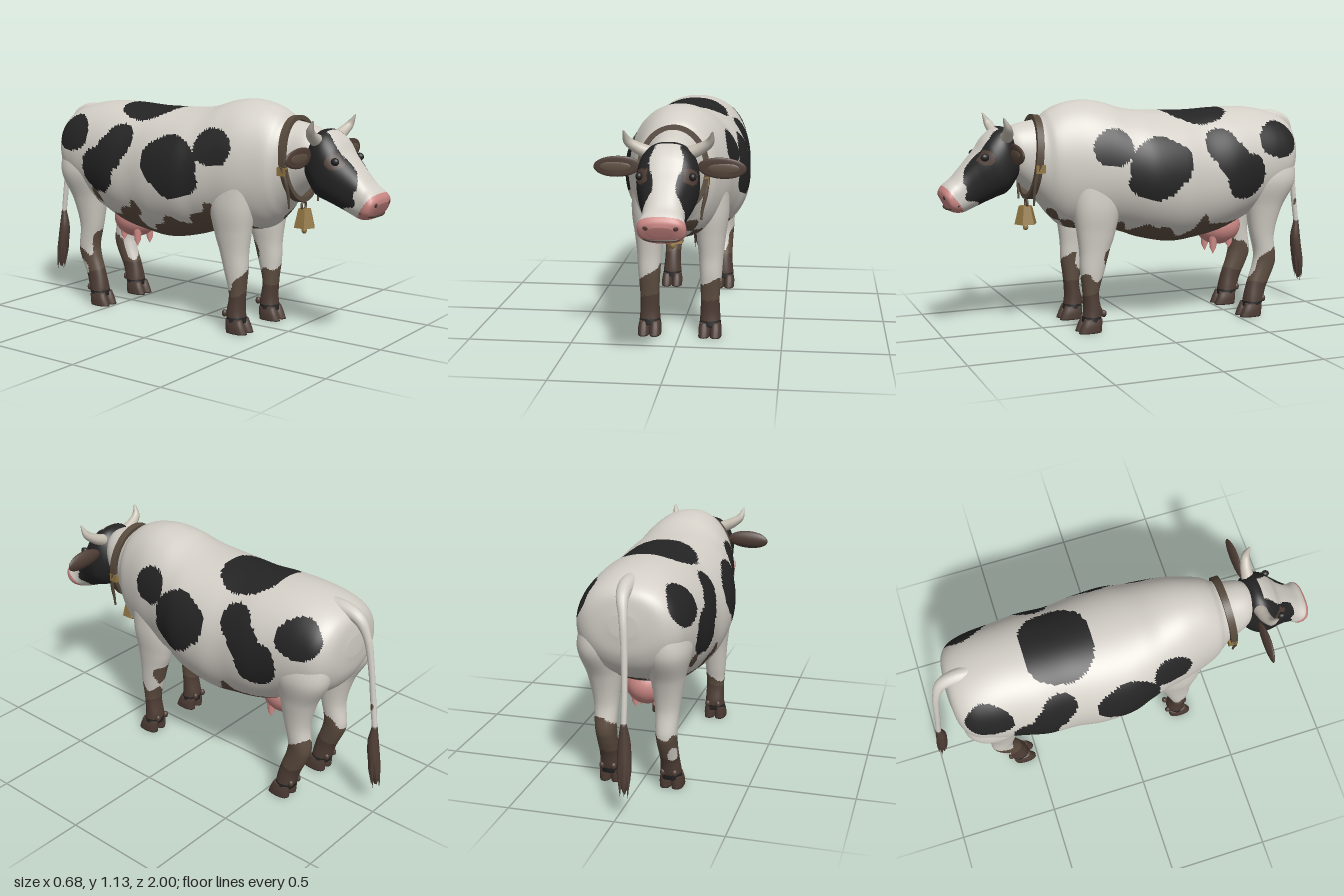
import * as THREE from 'three';

const material = (name, color) => Object.assign(new THREE.MeshStandardMaterial({ color }), { name });
const white = material('cream coat', 0xd3cfc7);
const black = material('black patches', 0x242424);
const mud = material('mud', 0x5d4d40);
const brown = material('dark brown', 0x4e3d35);
const pink = material('pink skin', 0xcb8884);
const hornMat = material('horn', 0xc9c2b6);
const leather = material('leather', 0x574a3d);
const brass = material('brass', 0x927643);
const coat = [white, black, mud, brown, pink];
const WHITE = 0, BLACK = 1, MUD = 2, BROWN = 3, PINK = 4;

// Closed loft. Each section: [z, y of one edge, z, y of the opposite edge, half width, centre x]
function loft(sections, rings, sides, power = 2) {
  const curve = (f) => new THREE.CatmullRomCurve3(sections.map(f), false, 'catmullrom', 0.5);
  const edgeA = curve((s) => new THREE.Vector3(0, s[1], s[0]));
  const edgeB = curve((s) => new THREE.Vector3(0, s[3], s[2]));
  const width = curve((s) => new THREE.Vector3(s[4], s[5] || 0, 0));
  const bend = (v) => Math.sign(v) * Math.abs(v) ** (2 / power);
  const pos = [], index = [];
  for (let i = 0; i <= rings; i++) {
    const a = edgeA.getPoint(i / rings), b = edgeB.getPoint(i / rings), w = width.getPoint(i / rings);
    const mid = a.clone().add(b).multiplyScalar(0.5), arm = a.clone().sub(mid);
    for (let j = 0; j < sides; j++) {
      const t = (j / sides) * Math.PI * 2, c = bend(Math.cos(t)), s = bend(Math.sin(t));
      pos.push(w.y + w.x * s, mid.y + arm.y * c, mid.z + arm.z * c);
      if (i < rings) {
        const k = (j + 1) % sides, p = i * sides, q = p + sides;
        index.push(p + j, q + j, p + k, p + k, q + j, q + k);
      }
    }
  }
  for (const [ring, flip] of [[0, false], [rings, true]]) {
    const s = sections[flip ? sections.length - 1 : 0], c = pos.length / 3, o = ring * sides;
    pos.push(s[5] || 0, (s[1] + s[3]) / 2, (s[0] + s[2]) / 2);
    for (let j = 0; j < sides; j++) {
      const k = (j + 1) % sides;
      index.push(c, o + (flip ? k : j), o + (flip ? j : k));
    }
  }
  const geo = new THREE.BufferGeometry();
  geo.setAttribute('position', new THREE.Float32BufferAttribute(pos, 3));
  geo.setIndex(index);
  geo.computeVertexNormals();
  return geo;
}

// Tube whose radius follows a list of values
function taperTube(points, radii, rings = 24, sides = 12) {
  const curve = new THREE.CatmullRomCurve3(points.map((p) => new THREE.Vector3(...p)));
  const geo = new THREE.TubeGeometry(curve, rings, 1, sides), pos = geo.attributes.position;
  const v = new THREE.Vector3();
  for (let n = 0; n < pos.count; n++) {
    const t = Math.floor(n / (sides + 1)) / rings, f = t * (radii.length - 1);
    const k = Math.min(Math.floor(f), radii.length - 2), c = curve.getPointAt(t);
    v.fromBufferAttribute(pos, n).sub(c).multiplyScalar(THREE.MathUtils.lerp(radii[k], radii[k + 1], f - k)).add(c);
    pos.setXYZ(n, v.x, v.y, v.z);
  }
  return geo;
}

// Sorts the triangles into colour groups by a rule on their centres
function paint(geo, rule) {
  const pos = geo.attributes.position, idx = geo.index.array, lists = coat.map(() => []);
  const centre = (i, axis) => [0, 1, 2].reduce((sum, k) => sum + pos.getComponent(idx[i + k], axis), 0) / 3;
  for (let i = 0; i < idx.length; i += 3) {
    lists[rule(centre(i, 0), centre(i, 1), centre(i, 2))].push(idx[i], idx[i + 1], idx[i + 2]);
  }
  let start = 0;
  lists.forEach((l, m) => { if (l.length) geo.addGroup(start, l.length, m); start += l.length; });
  geo.setIndex(lists.flat());
  return geo;
}

const noise = (x, y, z) => (Math.sin(21 * x + 9 * y + 1) + Math.sin(25 * y - 17 * z + 2)
  + Math.sin(27 * z + 13 * x) + 0.7 * Math.sin(45 * z + 33 * y - 20 * x)) / 2.6;

// Side patches: [z, y, radius z, radius y]
const patches = [[0.21, 0.905, 0.1, 0.09], [-0.02, 0.82, 0.16, 0.13], [0.02, 0.74, 0.12, 0.09],
  [-0.35, 0.9, 0.085, 0.085], [-0.41, 0.83, 0.09, 0.09], [-0.48, 0.745, 0.115, 0.115], [-0.68, 0.915, 0.11, 0.09]];
function patched(x, y, z) {
  const wobble = 1 + 0.08 * Math.sin(30 * z + 22 * y);
  if (patches.some(([pz, py, rz, ry]) => ((z - pz) / rz) ** 2 + ((y - py) / ry) ** 2 < wobble)) return true;
  return y > 0.9 && Math.abs(x / 0.18) ** 3 + Math.abs((z + 0.29) / 0.165) ** 3 < wobble;
}
const bodyRule = (x, y, z) => (y < 0.5 + 0.11 * noise(x, y, z) ? MUD : patched(x, y, z) ? BLACK : WHITE);
const legRule = (x, y, z) => (y < 0.078 ? BLACK : y < 0.19 + 0.02 * noise(x, y, z) ? BROWN
  : y < 0.29 + 0.11 * noise(x, y, z) ? MUD : patched(x, y, z) ? BLACK : WHITE);

// Face: u runs from poll to nose, v from throat to forehead
function headRule(x, y, z) {
  const u = 0.81 * z - 0.59 * y, v = 0.59 * z + 0.81 * y, ax = Math.abs(x);
  if (u > 0.362) return PINK;
  if (u > 0.305 + 0.02 * Math.sin(60 * v)) return WHITE;
  const blaze = 0.05 + 0.026 * Math.exp(-(((u - 0.09) / 0.06) ** 2)) + 0.05 * Math.max(0, (u - 0.23) / 0.08);
  if (u > -0.005 && v > 1.1 && ax < blaze) return WHITE;
  if (ax > 0.08 && ((z - 0.8) / 0.04) ** 2 + ((y - 0.87) / 0.035) ** 2 < 1) return BROWN;
  return BLACK;
}

export function createModel() {
  const cow = new THREE.Group();
  cow.name = 'cow';
  const add = (name, geo, mat, x = 0, y = 0, z = 0) => {
    const mesh = new THREE.Mesh(geo, mat);
    mesh.name = name;
    mesh.position.set(x, y, z);
    cow.add(mesh);
    return mesh;
  };
  const ball = (name, mat, radii, x, y, z) => {
    add(name, new THREE.SphereGeometry(1, 28, 20), mat, x, y, z).scale.set(...radii);
  };

  // Trunk and neck
  add('body', paint(loft([
    [-0.838, 0.9, -0.838, 0.8, 0.06], [-0.82, 0.985, -0.82, 0.7, 0.17], [-0.77, 1.03, -0.77, 0.62, 0.232],
    [-0.68, 1.06, -0.68, 0.56, 0.26], [-0.56, 1.075, -0.56, 0.5, 0.275], [-0.42, 1.073, -0.42, 0.44, 0.296],
    [-0.28, 1.065, -0.28, 0.41, 0.295], [-0.15, 1.065, -0.15, 0.4, 0.312], [0, 1.07, 0, 0.43, 0.312],
    [0.1, 1.085, 0.1, 0.465, 0.285], [0.2, 1.115, 0.2, 0.485, 0.26], [0.3, 1.125, 0.3, 0.49, 0.24],
    [0.4, 1.108, 0.4, 0.51, 0.21], [0.47, 1.075, 0.46, 0.56, 0.187], [0.51, 1.04, 0.5, 0.61, 0.16],
    [0.56, 1.03, 0.55, 0.67, 0.135], [0.64, 1.01, 0.61, 0.73, 0.115], [0.7, 0.97, 0.66, 0.78, 0.08],
  ], 170, 120, 2.1), bodyRule), coat);

  // Head
  add('head', paint(loft([
    [0.64, 0.97, 0.61, 0.84, 0.06], [0.69, 1.005, 0.61, 0.8, 0.1], [0.735, 0.998, 0.635, 0.755, 0.13],
    [0.785, 0.957, 0.68, 0.695, 0.139], [0.82, 0.905, 0.74, 0.67, 0.128], [0.86, 0.86, 0.8, 0.645, 0.108],
    [0.9, 0.815, 0.85, 0.622, 0.093], [0.94, 0.77, 0.89, 0.607, 0.093], [0.975, 0.74, 0.925, 0.606, 0.105],
    [0.994, 0.715, 0.955, 0.617, 0.095], [0.998, 0.69, 0.975, 0.645, 0.05],
  ], 80, 80, 2.5), headRule), coat);
  add('mouth', taperTube([[-0.1, 0.65, 0.925], [-0.07, 0.632, 0.962], [0, 0.628, 0.972], [0.07, 0.632, 0.962],
    [0.1, 0.65, 0.925]], [0.005, 0.005], 24, 8), brown);

  // Legs: front and back edges from the top down
  const legs = {
    front: [[0.39, 0.8, 0.15, 0.8, 0.055, 0.17], [0.385, 0.62, 0.15, 0.62, 0.08, 0.155],
      [0.368, 0.5, 0.178, 0.48, 0.07, 0.15], [0.355, 0.4, 0.205, 0.4, 0.06, 0.15],
      [0.352, 0.31, 0.235, 0.29, 0.053, 0.15], [0.34, 0.21, 0.26, 0.19, 0.046, 0.148],
      [0.335, 0.12, 0.247, 0.1, 0.048, 0.148], [0.343, 0.05, 0.25, 0.05, 0.053, 0.148]],
    rear: [[-0.56, 0.86, -0.8, 0.84, 0.07, 0.16], [-0.52, 0.72, -0.808, 0.7, 0.1, 0.16],
      [-0.55, 0.58, -0.74, 0.56, 0.078, 0.15], [-0.575, 0.44, -0.705, 0.42, 0.058, 0.146],
      [-0.6, 0.33, -0.718, 0.3, 0.05, 0.145], [-0.593, 0.26, -0.705, 0.24, 0.046, 0.145],
      [-0.563, 0.17, -0.665, 0.15, 0.043, 0.147], [-0.546, 0.1, -0.648, 0.09, 0.048, 0.148],
      [-0.54, 0.05, -0.635, 0.05, 0.052, 0.148]],
  };
  for (const s of [-1, 1]) {
    const side = s > 0 ? 'left' : 'right';
    for (const [end, rows] of Object.entries(legs)) {
      const name = `${side} ${end}`, toe = end === 'front' ? 0.37 : -0.51;
      add(`${name} leg`, paint(loft(rows.map((r) => [...r.slice(0, 5), r[5] * s]), 90, 36, 2.2), legRule), coat);
      for (const k of [-1, 1]) {
        const x = s * 0.148 + k * 0.028;
        add(`${name} hoof claw`, loft([[toe - 0.03, 0.07, toe - 0.12, 0.065, 0.022, x],
          [toe - 0.014, 0.035, toe - 0.118, 0.035, 0.028, x], [toe, 0, toe - 0.115, 0, 0.028, x]], 10, 20, 2.4), brown);
        ball(`${name} dewclaw`, brown, [0.014, 0.018, 0.014], x, 0.09, toe - 0.128);
      }
    }

    // Horn, ear, eye, nostril and hanging strap
    add(`${side} horn`, taperTube([[0.085 * s, 0.955, 0.695], [0.14 * s, 0.98, 0.7], [0.18 * s, 1.01, 0.712],
      [0.195 * s, 1.06, 0.735]], [0.032, 0.027, 0.02, 0.003]), hornMat);
    const earGeo = new THREE.SphereGeometry(1, 32, 20), ep = earGeo.attributes.position;
    for (let n = 0; n < ep.count; n++) {
      const u = ep.getX(n), y = ep.getY(n);
      ep.setXYZ(n, u * 0.108, y * 0.047, ep.getZ(n) * 0.016 + 0.01 * y * y);
    }
    earGeo.computeVertexNormals();
    add(`${side} ear`, earGeo, brown, 0.232 * s, 0.893, 0.682).rotation.z = -0.04 * s;
    ball(`${side} inner ear`, mud, [0.07, 0.026, 0.006], 0.24 * s, 0.891, 0.695);
    ball(`${side} eye`, black, [0.016, 0.018, 0.02], 0.116 * s, 0.872, 0.805);
    ball(`${side} nostril`, brown, [0.017, 0.014, 0.008], 0.06 * s, 0.688, 0.985);
    add(`${side} strap`, taperTube([[0.157 * s, 0.83, 0.55], [0.15 * s, 0.75, 0.57], [0.135 * s, 0.68, 0.575],
      [0.13 * s, 0.635, 0.575]], [0.011, 0.009, 0.005], 16, 8), leather);
    add(`${side} buckle`, new THREE.BoxGeometry(0.02, 0.04, 0.045), brass, 0.155 * s, 0.81, 0.548);

    // Teats
    for (const [z, low] of [[-0.41, 0.318], [-0.5, 0.345]]) {
      add(`${side} teat`, taperTube([[0.05 * s, 0.42, z], [0.05 * s, 0.36, z], [0.05 * s, low + 0.008, z],
        [0.05 * s, low, z]], [0.03, 0.02, 0.017, 0.001], 16, 14), pink);
    }
  }
  ball('udder', pink, [0.105, 0.1, 0.12], 0, 0.46, -0.46);

  // Tail, tuft and loose strands
  add('tail', paint(taperTube([[0, 1.01, -0.68], [0, 1.012, -0.78], [-0.004, 0.985, -0.845], [-0.018, 0.9, -0.885],
    [-0.028, 0.78, -0.907], [-0.034, 0.61, -0.928], [-0.035, 0.42, -0.953]],
  [0.045, 0.034, 0.02, 0.016, 0.014, 0.014, 0.013], 70, 16),
  (x, y, z) => (y < 0.56 + 0.1 * noise(x, y, z) ? MUD : WHITE)), coat);
  add('tail tuft', loft([[-0.938, 0.45, -0.964, 0.45, 0.013, -0.035], [-0.922, 0.36, -0.975, 0.36, 0.028, -0.036],
    [-0.932, 0.26, -0.988, 0.26, 0.031, -0.038], [-0.95, 0.18, -0.994, 0.18, 0.02, -0.04],
    [-0.968, 0.13, -0.982, 0.13, 0.004, -0.042]], 30, 16), brown);
  for (let i = 0; i < 7; i++) {
    const a = i * 0.9, c = Math.cos(a), d = Math.sin(a), low = 0.115 + 0.012 * (i % 4);
    add('tail strand', taperTube([[-0.037 + 0.014 * c, 0.34, -0.955 + 0.012 * d], [-0.038 + 0.024 * c, 0.24, -0.963 + 0.02 * d],
      [-0.042 + 0.02 * c, low, -0.977 + 0.02 * d]], [0.01, 0.01, 0.001], 12, 6), brown);
  }

  // Collar
  const band = new THREE.Shape().absellipse(0, 0, 0.165, 0.205, 0, Math.PI * 2);
  band.holes.push(new THREE.Path().absellipse(0, 0, 0.142, 0.183, 0, Math.PI * 2));
  const collarGeo = new THREE.ExtrudeGeometry(band, { depth: 0.034, bevelEnabled: false, curveSegments: 48 });
  add('collar', collarGeo.translate(0, 0, -0.017), leather, 0, 0.855, 0.55).rotation.x = -0.1;

  // Bell
  const bellGeo = new THREE.CylinderGeometry(0.034, 0.056, 0.088, 6).toNonIndexed();
  bellGeo.computeVertexNormals();
  add('bell', bellGeo, brass, 0, 0.573, 0.58);
  add('bell loop', new THREE.TorusGeometry(0.02, 0.006, 8, 20), leather, 0, 0.632, 0.575);
  ball('bell clapper', brass, [0.013, 0.016, 0.013], 0, 0.513, 0.58);
  return cow;
}
